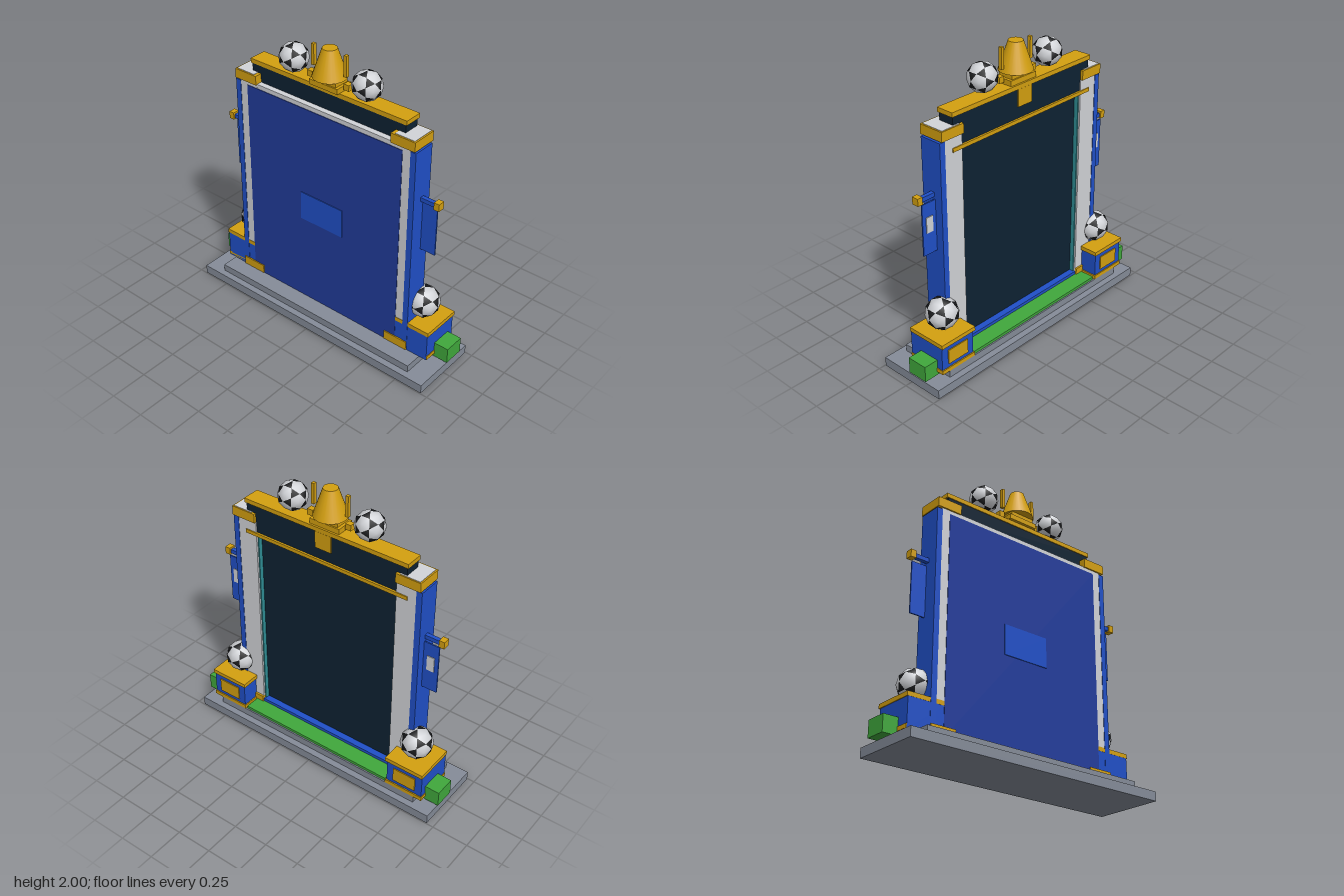
import * as THREE from 'three';

const mat = (name, color) => {
  const m = new THREE.MeshStandardMaterial({ color });
  m.name = name;
  return m;
};

export function createModel() {
  const gold = mat('gold', 0xd4a010);
  const blue = mat('blue', 0x2050c8);
  const deepBlue = mat('deep blue', 0x223c9c);
  const navy = mat('navy', 0x0e2233);
  const white = mat('off white', 0xd2d4d8);
  const grey = mat('stone grey', 0x858c99);
  const green = mat('green', 0x40a83c);
  const teal = mat('teal', 0x2f8f96);
  const black = mat('black', 0x17181a);

  const model = new THREE.Group();
  model.name = 'stadiumGate';

  // Box given by its extents on each axis
  function box(name, material, [x0, x1], [y0, y1], [z0, z1], parent = model) {
    const mesh = new THREE.Mesh(new THREE.BoxGeometry(x1 - x0, y1 - y0, z1 - z0), material);
    mesh.position.set((x0 + x1) / 2, (y0 + y1) / 2, (z0 + z1) / 2);
    mesh.name = name;
    parent.add(mesh);
    return mesh;
  }
  // Same box on both sides of the gate
  function pair(name, material, [x0, x1], y, z) {
    box(name + 'Left', material, [x0, x1], y, z);
    box(name + 'Right', material, [-x1, -x0], y, z);
  }

  // Faceted ball: white pentagons with black triangles between them
  function ball(name, r, x, y, z) {
    const geo = new THREE.IcosahedronGeometry(r, 1);
    const corners = new THREE.IcosahedronGeometry(r, 0).attributes.position;
    const pos = geo.attributes.position;
    const a = new THREE.Vector3(), b = new THREE.Vector3();
    const isCorner = (i) => {
      a.fromBufferAttribute(pos, i);
      for (let k = 0; k < corners.count; k++) {
        if (a.distanceTo(b.fromBufferAttribute(corners, k)) < r * 0.05) return true;
      }
      return false;
    };
    geo.clearGroups();
    for (let i = 0; i < pos.count; i += 3) {
      const pale = isCorner(i) || isCorner(i + 1) || isCorner(i + 2);
      geo.addGroup(i, 3, pale ? 0 : 1);
    }
    const mesh = new THREE.Mesh(geo, [white, black]);
    mesh.position.set(x, y, z);
    mesh.name = name;
    model.add(mesh);
  }

  // Stepped base and planting
  box('baseStep', grey, [-0.95, 0.95], [0, 0.063], [-0.245, 0.245]);
  box('upperStep', grey, [-0.81, 0.81], [0.063, 0.113], [-0.2, 0.2]);
  box('grassStrip', green, [-0.585, 0.585], [0.113, 0.133], [-0.19, -0.075]);
  pair('hedge', green, [0.825, 0.967], [0.09, 0.2], [-0.15, -0.005]);

  // Wall, front panel and rear screen
  box('wall', white, [-0.61, 0.61], [0.113, 1.605], [-0.01, 0.079]);
  box('frontPanel', deepBlue, [-0.613, 0.613], [0.113, 1.575], [0.075, 0.083]);
  box('frontPlaque', blue, [-0.17, 0.17], [0.75, 0.955], [0.083, 0.088]);
  box('rearScreen', navy, [-0.53, 0.53], [0.113, 1.61], [-0.03, -0.01]);
  box('screenSill', blue, [-0.53, 0.53], [0.113, 0.155], [-0.075, -0.03]);
  pair('lightStrip', teal, [0.522, 0.53], [0.113, 1.51], [-0.06, -0.03]);

  // Pillars with feet and capitals
  pair('pillarCore', white, [0.53, 0.67], [0.113, 1.605], [-0.072, 0.08]);
  pair('pillarOuter', blue, [0.67, 0.71], [0.113, 1.59], [-0.075, 0.083]);
  pair('pillarFoot', gold, [0.53, 0.708], [0.115, 0.177], [-0.085, 0.09]);
  pair('capital', gold, [0.53, 0.706], [1.6, 1.664], [-0.088, 0.09]);
  pair('capitalTop', white, [0.555, 0.696], [1.66, 1.667], [-0.08, 0.08]);

  // Lintel and cornice
  box('lintel', navy, [-0.6, 0.6], [1.6, 1.722], [-0.07, 0.04]);
  box('lintelLower', navy, [-0.53, 0.53], [1.52, 1.61], [-0.065, -0.01]);
  box('cornice', gold, [-0.61, 0.61], [1.72, 1.75], [-0.078, 0.045]);
  box('rearMoulding', gold, [-0.61, 0.61], [1.5, 1.525], [-0.079, -0.01]);
  box('rearEmblem', gold, [-0.06, 0.06], [1.605, 1.72], [-0.079, -0.07]);

  // Pedestals with balls
  pair('pedestal', blue, [0.6, 0.865], [0.113, 0.31], [-0.195, 0.081]);
  pair('pedestalBase', gold, [0.592, 0.87], [0.115, 0.142], [-0.203, 0.081]);
  pair('pedestalCap', gold, [0.588, 0.87], [0.305, 0.334], [-0.205, 0.082]);
  pair('pedestalPlate', gold, [0.65, 0.815], [0.17, 0.27], [-0.202, -0.195]);

  // Side banners on arms
  pair('bannerArm', blue, [0.71, 0.815], [1.229, 1.257], [-0.014, 0.014]);
  pair('armEnd', gold, [0.812, 0.85], [1.22, 1.27], [-0.024, 0.024]);
  pair('banner', blue, [0.71, 0.817], [0.867, 1.213], [-0.02, -0.011]);
  pair('bannerPatch', white, [0.738, 0.79], [1.015, 1.12], [-0.025, -0.02]);

  // Trophy on the cornice
  box('trophyPlinth', gold, [-0.11, 0.11], [1.75, 1.785], [-0.065, 0.065]);
  box('trophyPlinthTop', gold, [-0.09, 0.09], [1.785, 1.815], [-0.055, 0.055]);
  const cup = new THREE.Mesh(new THREE.CylinderGeometry(0.047, 0.11, 0.185, 24), gold);
  cup.position.y = 1.9075;
  cup.name = 'trophyCup';
  model.add(cup);
  pair('trophyHandle', gold, [0.115, 0.136], [1.85, 1.99], [-0.012, 0.012]);
  pair('trophyFoot', gold, [0.122, 0.162], [1.77, 1.81], [-0.02, 0.02]);

  for (const s of [-1, 1]) {
    const side = s > 0 ? 'Left' : 'Right';
    ball('corniceBall' + side, 0.097, s * 0.285, 1.848, 0);
    ball('pedestalBall' + side, 0.109, s * 0.728, 0.44, -0.06);
  }
  return model;
}
